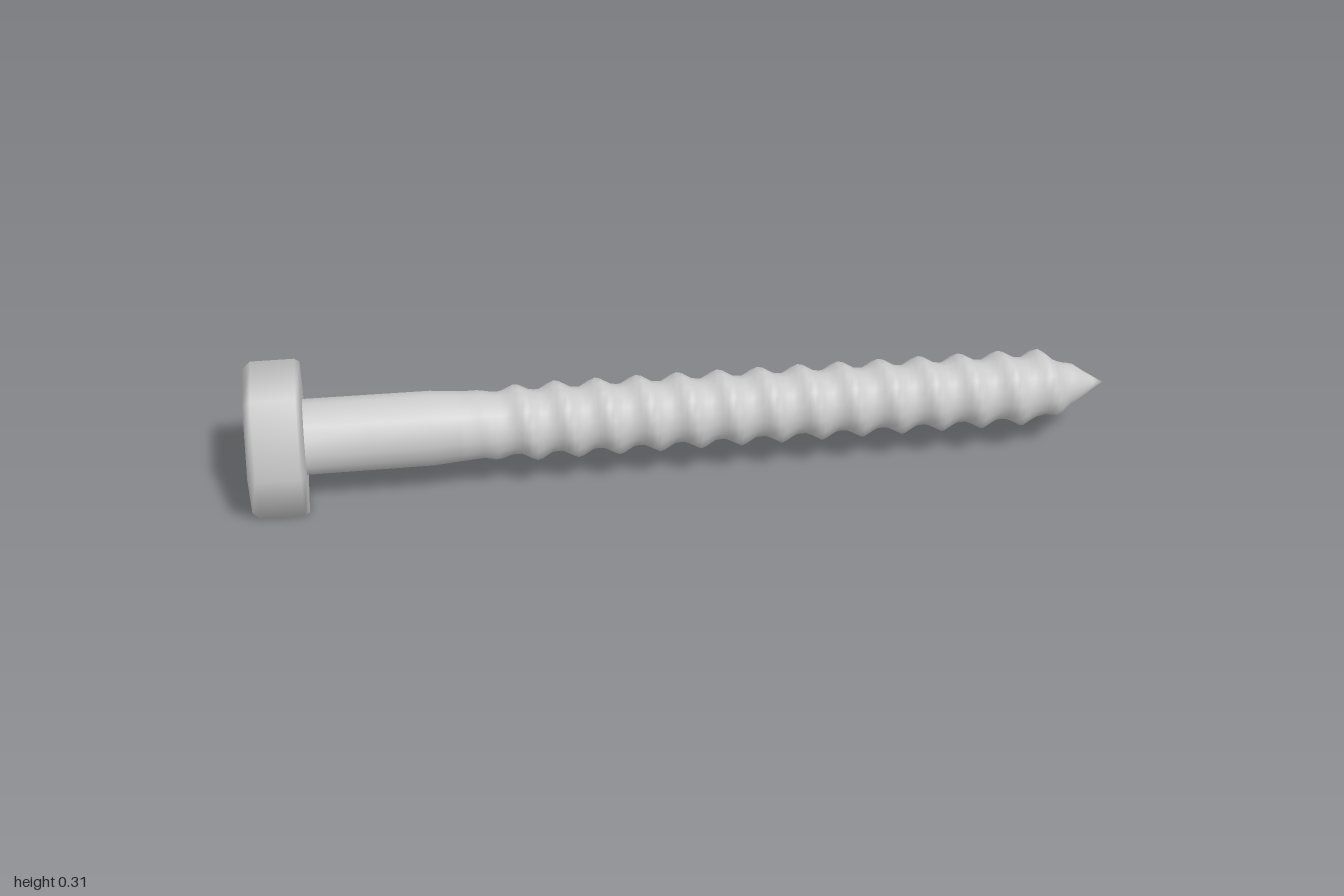
import * as THREE from 'three';
import { mergeVertices } from 'three/addons/utils/BufferGeometryUtils.js';

const AXIS_Y = 0.156; // height of the screw's axis
const PITCH = 0.095;
const THREAD_START = -0.52, THREAD_END = 0.93;

// Lathe about y; the whole group is later laid down along x
function lathe(points, sides) {
  return new THREE.LatheGeometry(points.map(([r, y]) => new THREE.Vector2(r, y)), sides);
}

// Core radius along the screw: plain shank, thinner threaded core, pointed tip
function coreRadius(t) {
  const key = [[-0.88, 0.088], [-0.58, 0.087], [-0.42, 0.074], [0.84, 0.072], [0.93, 0.045], [1, 0]];
  for (let i = 1; i < key.length; i++) {
    const [t0, r0] = key[i - 1], [t1, r1] = key[i];
    if (t <= t1) return r0 + (r1 - r0) * (t - t0) / (t1 - t0);
  }
  return 0;
}

// Right-handed helical ridge, fading in and out at its ends
function threadHeight(t, angle) {
  const turn = t / PITCH - angle / (2 * Math.PI);
  const f = Math.abs(turn - Math.round(turn)) * 2; // 0 on the crest, 1 in the root
  const fadeIn = THREE.MathUtils.smoothstep(t, THREAD_START, THREAD_START + 0.18);
  const fadeOut = 1 - THREE.MathUtils.smoothstep(t, THREAD_END - 0.06, THREAD_END + 0.02);
  return 0.02 * Math.max(0, 1 - f * 1.35) * fadeIn * fadeOut;
}

function createShaft() {
  // plain rings on the shank, dense rings along the thread, then the tip
  const ts = [-0.88, -0.72, -0.58];
  for (let t = THREAD_START; t < 0.955; t += PITCH / 8) ts.push(t);
  ts.push(0.975, 1);
  let geo = lathe(ts.map((t) => [coreRadius(t), t]), 16);
  const p = geo.attributes.position;
  for (let i = 0; i < p.count; i++) {
    const x = p.getX(i), t = p.getY(i), z = p.getZ(i);
    const r = Math.hypot(x, z);
    if (r < 1e-5) continue;
    const k = (r + threadHeight(t, Math.atan2(z, -x))) / r;
    p.setXYZ(i, x * k, t, z * k);
  }
  // weld the seam so the shading runs round smoothly
  geo.deleteAttribute('uv');
  geo.deleteAttribute('normal');
  geo = mergeVertices(geo, 1e-5);
  geo.computeVertexNormals();
  return geo;
}

export function createModel() {
  const material = new THREE.MeshStandardMaterial({ color: 0xcccccc });
  const group = new THREE.Group();
  group.name = 'hexScrew';

  // Six-sided head with softened rims
  const head = new THREE.Mesh(lathe([
    [0, -1], [0.165, -1], [0.18, -0.982], [0.18, -0.882], [0.173, -0.87], [0, -0.87],
  ], 6), material);
  head.name = 'hexHead';

  const shaft = new THREE.Mesh(createShaft(), material);
  shaft.name = 'threadedShaft';

  const screw = new THREE.Group();
  screw.name = 'screw';
  screw.add(head, shaft);
  screw.rotation.z = -Math.PI / 2;
  screw.position.y = AXIS_Y;
  group.add(screw);
  return group;
}
